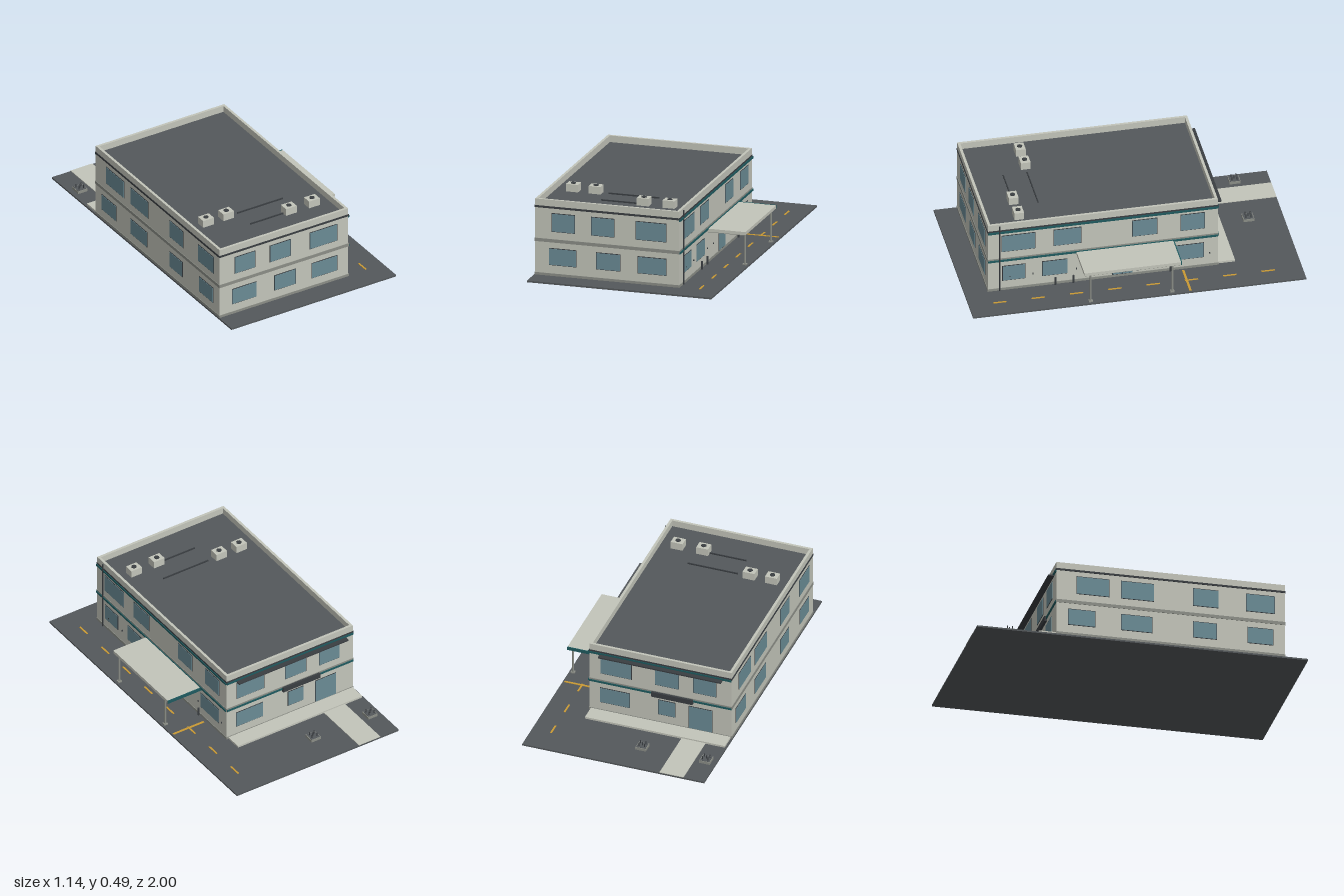
import * as THREE from 'three';

const mat = (name, color) => Object.assign(new THREE.MeshStandardMaterial({ color }), { name });
const M = {
  wall: mat('pale render', 0xc3c5ba),
  grey: mat('grey trim', 0x8b8e87),
  asphalt: mat('asphalt', 0x54585b),
  dark: mat('dark metal', 0x3a3e42),
  glass: mat('window glass', 0x6a8b95),
  teal: mat('teal trim', 0x1f5a5f),
  yellow: mat('road yellow', 0xc99a35),
};

// Building extents
const X0 = -0.565, X1 = 0.325, Z0 = -0.52, Z1 = 0.86, ROOF = 0.435, TOP = 0.475;
const CX = (X0 + X1) / 2, CZ = (Z0 + Z1) / 2;

// Box given by its min and max on each axis
function box(parent, name, m, x0, x1, y0, y1, z0, z1) {
  const mesh = new THREE.Mesh(new THREE.BoxGeometry(x1 - x0, y1 - y0, z1 - z0), m);
  mesh.position.set((x0 + x1) / 2, (y0 + y1) / 2, (z0 + z1) / 2);
  mesh.name = name;
  parent.add(mesh);
  return mesh;
}

function cylinder(parent, name, m, r, h, x, y, z, sides = 12) {
  const mesh = new THREE.Mesh(new THREE.CylinderGeometry(r, r, h, sides), m);
  mesh.position.set(x, y, z);
  mesh.name = name;
  parent.add(mesh);
  return mesh;
}

// Rectangular ring lying flat, outer edge grown by `out` from the walls
function ring(parent, name, m, out, inset, y0, y1) {
  const rect = (T, e) => {
    const a = X0 - e, b = X1 + e, c = -Z1 - e, d = -Z0 + e;
    return new T([[a, c], [b, c], [b, d], [a, d]].map(p => new THREE.Vector2(...p)));
  };
  const shape = rect(THREE.Shape, out);
  shape.holes.push(rect(THREE.Path, -inset));
  const geo = new THREE.ExtrudeGeometry(shape, { depth: y1 - y0, bevelEnabled: false });
  geo.rotateX(-Math.PI / 2);
  const mesh = new THREE.Mesh(geo, m);
  mesh.position.y = y0;
  mesh.name = name;
  parent.add(mesh);
}

// Group whose local +z is the outward direction of one wall
function facade(parent, name, angle, x, z) {
  const g = new THREE.Group();
  g.name = name;
  g.rotation.y = angle;
  g.position.set(x, 0, z);
  parent.add(g);
  return g;
}

function pane(parent, name, u0, u1, y0, y1) {
  const g = new THREE.Group();
  g.name = name;
  parent.add(g);
  box(g, 'frame', M.dark, u0, u1, y0, y1, -0.002, 0.002);
  box(g, 'glass', M.glass, u0 + 0.003, u1 - 0.003, y0 + 0.003, y1 - 0.004, 0, 0.004);
}

function windows(parent, upper, lower) {
  upper.forEach(([a, b]) => pane(parent, 'upperWindow', a, b, 0.28, 0.395));
  lower.forEach(([a, b]) => pane(parent, 'lowerWindow', a, b, 0.075, 0.18));
}

export function createModel() {
  const root = new THREE.Group();
  root.name = 'officeBuilding';

  // Site
  box(root, 'ground', M.asphalt, -0.57, 0.57, 0, 0.01, -1, 1);
  box(root, 'rearPavement', M.wall, -0.56, 0.315, 0.01, 0.022, -0.625, Z0);
  box(root, 'rearPath', M.wall, -0.44, -0.29, 0.01, 0.014, -1, -0.625);
  for (let i = 0; i < 8; i++) {
    const z = -0.795 + i * 0.23;
    box(root, 'laneDash', M.yellow, 0.445, 0.456, 0.009, 0.0125, z - 0.04, z + 0.04);
  }
  box(root, 'stopLine', M.yellow, 0.345, 0.56, 0.009, 0.0125, -0.314, -0.3);

  // Shell, roof and parapet
  box(root, 'walls', M.wall, X0, X1, 0.01, ROOF - 0.004, Z0, Z1);
  box(root, 'roofDeck', M.asphalt, X0 + 0.01, X1 - 0.01, ROOF - 0.01, ROOF, Z0 + 0.01, Z1 - 0.01);
  ring(root, 'parapet', M.wall, 0, 0.016, ROOF - 0.004, TOP);
  ring(root, 'baseBand', M.grey, 0.003, 0.01, 0.01, 0.025);
  ring(root, 'floorBand', M.grey, 0.003, 0.01, 0.215, 0.235);
  ring(root, 'roofBand', M.dark, 0.003, 0.01, 0.423, 0.435);

  // Front wall
  const front = facade(root, 'frontWall', 0, 0, Z1);
  windows(front, [[-0.462, -0.318], [-0.218, -0.073], [0.057, 0.248]],
    [[-0.48, -0.31], [-0.188, -0.038], [0.07, 0.248]]);

  // Entrance wall (+x): local u runs toward -z
  const side = facade(root, 'entranceWall', Math.PI / 2, X1, 0);
  windows(side, [[-0.78, -0.575], [-0.468, -0.3], [0.005, 0.157], [0.295, 0.442]],
    [[-0.775, -0.635], [-0.535, -0.382], [0.247, 0.437]]);
  pane(side, 'entranceDoor', -0.115, 0.008, 0.025, 0.162);
  box(side, 'doorMullion', M.dark, -0.055, -0.052, 0.025, 0.16, 0, 0.005);
  box(side, 'doorHead', M.dark, -0.122, 0.014, 0.162, 0.175, 0, 0.014);
  box(side, 'tealFloorStrip', M.teal, -Z1, -Z0, 0.214, 0.226, 0, 0.008);
  box(side, 'tealRoofStrip', M.teal, -Z1, -Z0, 0.413, 0.426, 0, 0.008);
  for (const u of [-0.73, -0.59, -0.33, -0.22, 0.1, 0.22, 0.47])
    box(side, 'wallLight', M.dark, u - 0.003, u + 0.003, 0.098, 0.106, 0, 0.006);
  cylinder(side, 'downpipe', M.dark, 0.005, 0.455, -0.79, 0.238, 0.006);
  for (const u of [-0.458, -0.35, 0.232])
    cylinder(side, 'bollard', M.dark, 0.006, 0.05, u, 0.035, 0.009);

  // Rear wall: local u runs toward -x
  const rear = facade(root, 'rearWall', Math.PI, 0, Z0);
  windows(rear, [[-0.257, -0.06], [0.085, 0.235], [0.325, 0.47]],
    [[-0.26, -0.07], [0.105, 0.215]]);
  pane(rear, 'rearDoor', 0.297, 0.445, 0.022, 0.18);
  box(rear, 'tealFloorStrip', M.teal, -X1, -X0, 0.214, 0.226, 0, 0.007);
  box(rear, 'tealRoofStrip', M.teal, -X1, -X0, 0.413, 0.426, 0, 0.007);
  box(rear, 'rearAwning', M.dark, -0.26, 0.51, 0.408, 0.416, 0, 0.036);
  box(rear, 'rearPanel', M.dark, 0.065, 0.325, 0.2, 0.232, 0, 0.016);

  // Plain long wall (-x): local u runs toward +z
  const plain = facade(root, 'plainWall', -Math.PI / 2, X0, 0);
  windows(plain, [[-0.4, -0.2], [-0.13, 0.07], [0.305, 0.46], [0.625, 0.8]],
    [[-0.45, -0.285], [-0.13, 0.06], [0.305, 0.45], [0.635, 0.79]]);

  // Entrance canopy with posts and underside beams
  const canopy = new THREE.Group();
  canopy.name = 'canopy';
  root.add(canopy);
  box(canopy, 'canopyRoof', M.wall, X1, 0.562, 0.203, 0.222, -0.25, 0.33);
  box(canopy, 'canopyEdge', M.teal, X1, 0.562, 0.203, 0.223, -0.256, -0.25);
  box(canopy, 'canopySoffit', M.grey, X1, 0.558, 0.199, 0.203, -0.247, 0.327);
  for (let i = 0; i < 8; i++) {
    const z = -0.2 + i * 0.07;
    box(canopy, 'canopyBeam', M.dark, X1, 0.55, 0.192, 0.199, z - 0.005, z + 0.005);
  }
  for (const z of [-0.2, 0.29]) {
    cylinder(canopy, 'post', M.grey, 0.006, 0.19, 0.546, 0.105, z);
    box(canopy, 'postFoot', M.grey, 0.534, 0.558, 0.01, 0.017, z - 0.012, z + 0.012);
  }

  // Rooftop units and their pipes
  for (const [x, z] of [[-0.442, 0.51], [-0.302, 0.51], [0.042, 0.654], [0.202, 0.654]]) {
    const unit = new THREE.Group();
    unit.name = 'rooftopUnit';
    unit.position.set(x, ROOF, z);
    root.add(unit);
    box(unit, 'housing', M.wall, -0.037, 0.037, 0, 0.046, -0.029, 0.029);
    cylinder(unit, 'fan', M.dark, 0.016, 0.006, 0, 0.047, 0, 8);
  }
  box(root, 'roofPipe', M.dark, -0.225, 0.09, ROOF, ROOF + 0.008, 0.507, 0.513);
  box(root, 'roofPipe', M.dark, -0.225, 0.006, ROOF, ROOF + 0.008, 0.651, 0.657);

  // Planters behind the building
  for (const x of [-0.506, -0.106]) {
    const planter = new THREE.Group();
    planter.name = 'planter';
    planter.position.set(x, 0.01, -0.79);
    root.add(planter);
    box(planter, 'rim', M.grey, -0.033, 0.033, 0, 0.016, -0.033, 0.033);
    box(planter, 'soil', M.asphalt, -0.029, 0.029, 0.01, 0.018, -0.029, 0.029);
    for (const [u, v] of [[0, 0], [-0.017, -0.015], [0.017, -0.015], [-0.017, 0.015], [0.017, 0.015]])
      cylinder(planter, 'stem', M.dark, 0.003, 0.022, u, 0.028, v, 6);
  }
  return root;
}
